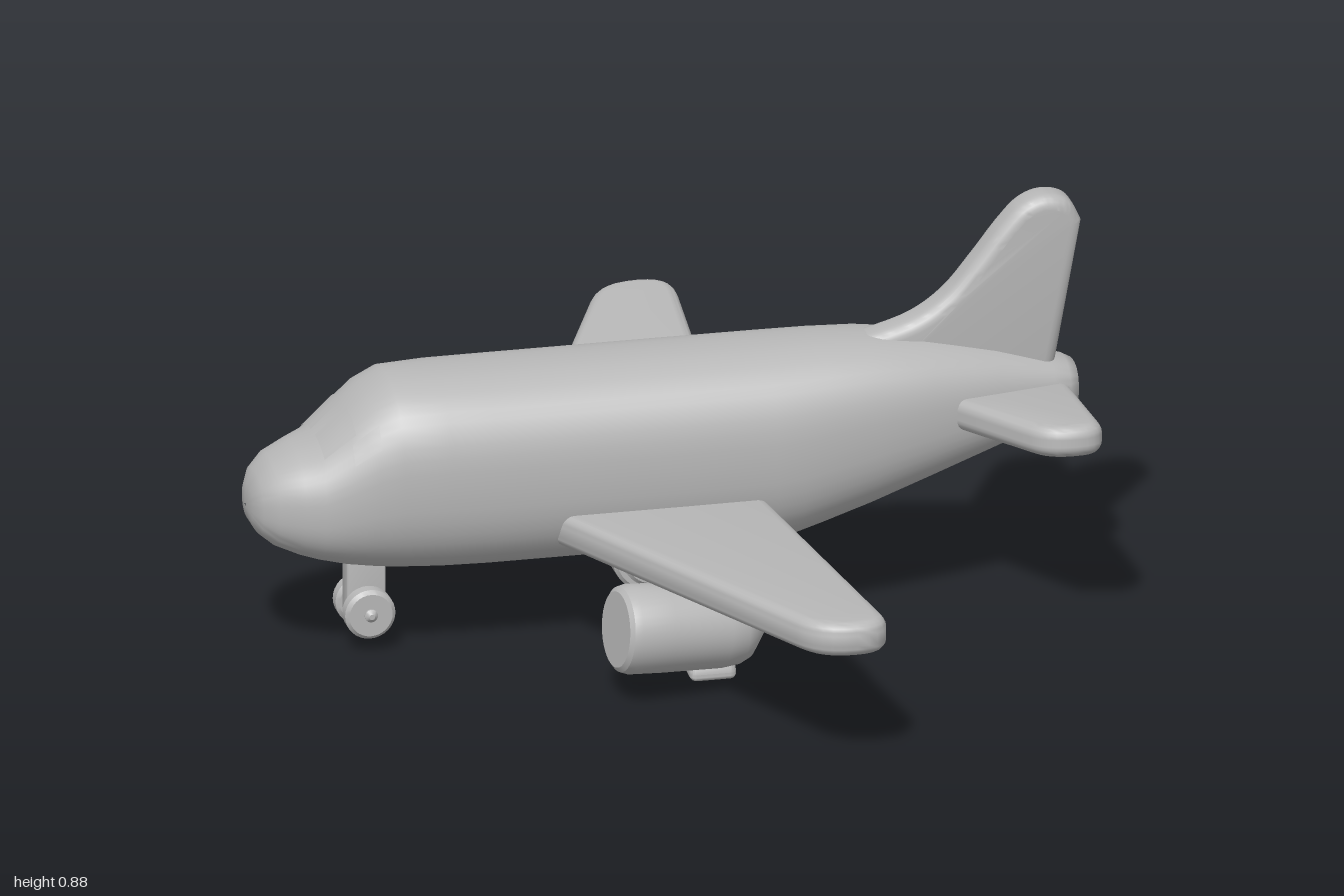
import * as THREE from 'three';
import { toCreasedNormals } from 'three/addons/utils/BufferGeometryUtils.js';

const grey = new THREE.MeshStandardMaterial({ color: 0xb8b8b8 });
grey.name = 'plain grey';

// Fuselage stations along x: [x, bottom, top, half width]
const STATIONS = [
  [-0.9, 0.33, 0.335, 0.004], [-0.895, 0.3, 0.375, 0.05], [-0.88, 0.275, 0.405, 0.085],
  [-0.85, 0.25, 0.435, 0.112], [-0.8, 0.228, 0.458, 0.137], [-0.76, 0.215, 0.475, 0.152],
  [-0.7, 0.2, 0.53, 0.168], [-0.65, 0.192, 0.575, 0.178], [-0.6, 0.186, 0.6, 0.186],
  [-0.5, 0.18, 0.605, 0.19], [-0.4, 0.178, 0.605, 0.192], [0, 0.178, 0.605, 0.192],
  [0.2, 0.178, 0.605, 0.19], [0.26, 0.187, 0.605, 0.186], [0.32, 0.205, 0.605, 0.18],
  [0.42, 0.237, 0.602, 0.168], [0.55, 0.283, 0.587, 0.145], [0.7, 0.335, 0.555, 0.108],
  [0.82, 0.378, 0.52, 0.078], [0.855, 0.39, 0.51, 0.07], [0.875, 0.41, 0.5, 0.055],
  [0.885, 0.45, 0.455, 0.004],
];

// Point on the rounded-square hull at x and angle a (0 = +z side, PI/2 = top)
function hullPoint(x, a, scale = 1) {
  let i = 0;
  while (i < STATIONS.length - 2 && x > STATIONS[i + 1][0]) i++;
  const p = STATIONS[i], q = STATIONS[i + 1];
  const t = (x - p[0]) / (q[0] - p[0]);
  const [bottom, top, w] = [1, 2, 3].map((k) => THREE.MathUtils.lerp(p[k], q[k], t));
  const bulge = (v) => Math.sign(v) * Math.pow(Math.abs(v), 0.8);
  return [x, (bottom + top) / 2 + scale * ((top - bottom) / 2) * bulge(Math.sin(a)), scale * w * bulge(Math.cos(a))];
}

// Patch of hull between the given x positions and angles
function hullPatch(xs, angles, scale) {
  const pos = [], index = [], n = angles.length;
  xs.forEach((x) => angles.forEach((a) => pos.push(...hullPoint(x, a, scale))));
  for (let i = 0; i < xs.length - 1; i++) {
    for (let j = 0; j < n - 1; j++) {
      const a = i * n + j, b = a + n;
      index.push(a, b, a + 1, b, b + 1, a + 1);
    }
  }
  const g = new THREE.BufferGeometry();
  g.setAttribute('position', new THREE.Float32BufferAttribute(pos, 3));
  g.setIndex(index);
  return toCreasedNormals(g, 1.2);
}

const range = (from, to, n) => Array.from({ length: n + 1 }, (_, i) => from + ((to - from) * i) / n);

// Polygon with rounded corners, points given as [x, y, radius]
function roundedShape(pts) {
  const s = new THREE.Shape();
  pts.forEach(([x, y, r], i) => {
    const c = new THREE.Vector2(x, y);
    const toward = ([px, py]) => new THREE.Vector2(px, py).sub(c).setLength(r).add(c);
    const a = toward(pts[(i + pts.length - 1) % pts.length]);
    const b = toward(pts[(i + 1) % pts.length]);
    if (i === 0) s.moveTo(a.x, a.y);
    else s.lineTo(a.x, a.y);
    if (r > 0) s.quadraticCurveTo(x, y, b.x, b.y);
  });
  s.closePath();
  return s;
}

// Plate with rounded edges, centred on its own thickness
function slab(shape, thickness, bevel) {
  const g = new THREE.ExtrudeGeometry(shape, {
    depth: thickness - 2 * bevel, bevelEnabled: true, bevelThickness: bevel,
    bevelSize: bevel, bevelOffset: -bevel, bevelSegments: 5, curveSegments: 6,
  });
  g.translate(0, 0, bevel - thickness / 2);
  return toCreasedNormals(g, 0.6);
}

export function createModel() {
  const model = new THREE.Group();
  model.name = 'airplane';
  const add = (name, geometry, x = 0, y = 0, z = 0) => {
    const m = new THREE.Mesh(geometry, grey);
    m.name = name;
    m.position.set(x, y, z);
    model.add(m);
    return m;
  };
  // Wheel or axle lying along z
  const disc = (name, r, width, x, y, z) => {
    const b = Math.min(0.008, width / 4);
    const pts = [[0, -width / 2], [r - b, -width / 2], [r, b - width / 2], [r, width / 2 - b], [r - b, width / 2], [0, width / 2]];
    const g = new THREE.LatheGeometry(pts.map((p) => new THREE.Vector2(...p)), 32);
    add(name, toCreasedNormals(g, 0.5), x, y, z).rotation.x = Math.PI / 2;
  };

  // Body
  add('fuselage', hullPatch(STATIONS.map((s) => s[0]), range(0, Math.PI * 2, 48), 1));

  // Cockpit panes
  for (const flip of [false, true]) {
    const span = (a, b) => (flip ? range(Math.PI - b, Math.PI - a, 6) : range(a, b, 6));
    add('frontPane', hullPatch(range(-0.755, -0.69, 4), span(0.9, 1.5), 1.012));
    add('sidePane', hullPatch(range(-0.7, -0.645, 4), span(0.48, 0.8), 1.012));
  }

  // Tail fin
  const fin = new THREE.Shape();
  fin.moveTo(0.36, 0.585);
  fin.splineThru([[0.44, 0.603], [0.53, 0.632], [0.6, 0.68], [0.66, 0.75], [0.715, 0.82], [0.76, 0.865],
    [0.81, 0.882], [0.86, 0.868], [0.887, 0.82]].map((p) => new THREE.Vector2(...p)));
  fin.lineTo(0.825, 0.48);
  fin.lineTo(0.45, 0.48);
  fin.closePath();
  add('tailFin', slab(fin, 0.088, 0.028));

  // Wings and tailplanes, drawn as [x, distance from centreline, corner radius]
  const wing = slab(roundedShape([[-0.342, 0, 0], [0.165, 0, 0], [0.256, 1.002, 0.08], [0.092, 1.002, 0.08]]), 0.074, 0.026);
  const tailplane = slab(roundedShape([[0.53, 0, 0], [0.855, 0, 0], [0.855, 0.396, 0.06], [0.724, 0.396, 0.06]]), 0.068, 0.026);
  for (const side of [1, -1]) {
    const lift = side > 0 ? 0.025 : 0.06;
    add('wing', wing, 0, side > 0 ? 0.275 : 0.284, 0).rotation.x = side * (Math.PI / 2 - lift);
    add('tailplane', tailplane, 0, 0.437, 0).rotation.x = side * (Math.PI / 2 - 0.07);
  }

  // Engines, slightly toed toward the body at the rear
  const profile = [[0, 0], [0.08, 0], [0.09, 0.008], [0.095, 0.025], [0.094, 0.1], [0.089, 0.23], [0.082, 0.27], [0.07, 0.292], [0.012, 0.334], [0, 0.337]];
  const engine = toCreasedNormals(new THREE.LatheGeometry(profile.map((p) => new THREE.Vector2(...p)), 40), 0.55);
  for (const side of [1, -1]) {
    const axis = new THREE.Vector3(0.333, -0.033, -side * 0.045).normalize();
    add('engine', engine, -0.213, 0.16, side * 0.455).quaternion.setFromUnitVectors(new THREE.Vector3(0, 1, 0), axis);
  }

  // Flared landing gear legs under the wings
  for (const side of [1, -1]) {
    const leg = roundedShape([[0.27, 0.29, 0], [0.335, 0.29, 0], [0.452, 0.018, 0.03], [0.197, 0.047, 0.03]].map(([z, y, r]) => [side * z, y, r]));
    add('gearLeg', slab(leg, 0.1, 0.014)).rotation.y = -Math.PI / 2;
  }

  // Main wheel
  disc('mainWheel', 0.078, 0.066, 0.005, 0.078, -0.19);
  disc('mainWheelHub', 0.06, 0.112, 0.005, 0.08, -0.19);

  // Nose gear
  const strut = roundedShape([[-0.687, 0.25, 0], [-0.603, 0.25, 0], [-0.603, 0.04, 0.035], [-0.687, 0.04, 0.035]]);
  add('noseStrut', slab(strut, 0.046, 0.006));
  for (const side of [1, -1]) disc('noseWheel', 0.054, 0.042, -0.645, 0.085, side * 0.043);
  disc('noseAxle', 0.014, 0.15, -0.645, 0.085, 0);

  return model;
}
